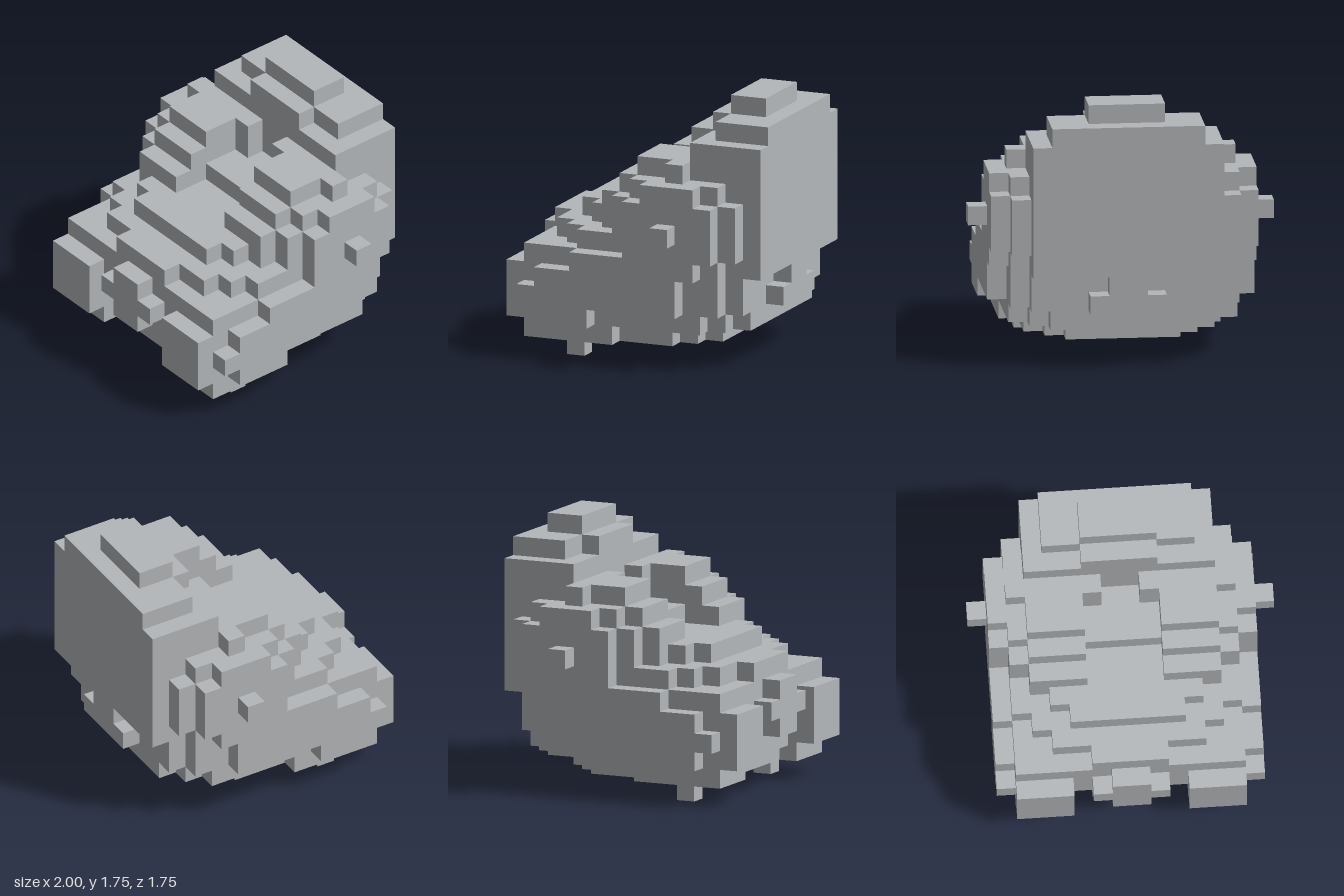
import * as THREE from 'three';
import { mergeGeometries } from 'three/addons/utils/BufferGeometryUtils.js';

const U = 0.125; // block size

// Box spanning block coordinates
function block(x0, x1, y0, y1, z0, z1) {
  const g = new THREE.BoxGeometry((x1 - x0) * U, (y1 - y0) * U, (z1 - z0) * U);
  return g.translate((x0 + x1) * U / 2, (y0 + y1) * U / 2, (z0 + z1) * U / 2);
}
// Box centred on x = 0
const slab = ([half, ...yz]) => [block(-half, half, ...yz)];
// Box and its mirror image
const pair = ([x0, x1, ...yz]) => [block(x0, x1, ...yz), block(-x1, -x0, ...yz)];

export function createModel() {
  const group = new THREE.Group();
  const grey = new THREE.MeshStandardMaterial({ color: 0xb4b7ba });
  grey.name = 'stone grey';

  function part(name, make, rows) {
    const mesh = new THREE.Mesh(mergeGeometries(rows.flatMap(make)), grey);
    mesh.name = name;
    group.add(mesh);
  }

  // Rows: half width, y0, y1, z0, z1
  part('base', slab, [
    [3, 1, 2, -4, 5], [4, 1, 2, -3, 5], [5, 1, 2, -2, 5], [6, 1, 2, 1, 5],
    [4, 2, 3, -6, 5], [5, 2, 3, -5, 5], [6, 2, 3, -4, 5], [2, 2, 3, 5, 6],
  ]);
  part('body', slab, [
    [5, 3, 5, -6, 6], [6, 3, 5, -5, 6],
    [5, 5, 6, -7, 6], [6, 5, 6, -5, 6],
    [7, 2, 3, 2, 5], [7, 3, 4, -3, 6], [7, 4, 5, -3, 5], [7, 5, 6, -4, 3],
    [2, 6, 7, -6, 6], [4, 6, 7, -6, 5], [5, 6, 7, -7, 4], [6, 6, 7, -6, 3],
    [7, 6, 8, -5, 0],
  ]);
  part('upperLip', slab, [
    [3, 7, 8, -6, 4], [4, 7, 8, -6, 3], [5, 7, 8, -7, 2], [6, 7, 8, -6, 1],
  ]);
  part('brow', slab, [[1, 8, 9, -6, -1], [2, 8, 9, -6, 0]]);
  part('back', slab, [
    [5, 8, 12, -7, -3],
    [4, 12, 13, -7, -4], [2, 12, 13, -7, -3], [2, 13, 14, -6, -4],
  ]);

  // Rows: x0, x1, y0, y1, z0, z1
  part('eyeMounds', pair, [
    [2, 5, 8, 9, -3, 2], [2, 5, 9, 10, -3, 1], [2, 5, 10, 11, -3, 0],
    [1, 6, 9, 11, -3, -2],
  ]);
  part('cheeks', pair, [
    [5, 6, 8, 9, -6, 1], [5, 6, 9, 10, -5, 0],
    [6, 7, 8, 9, -5, 0], [6, 7, 9, 10, -4, -1],
  ]);
  part('frontPaws', pair, [[3, 6, 2, 5, 5, 7], [3, 6, 1, 2, 5, 6]]);
  part('feet', pair, [[4, 5, 0, 1, 3, 4]]);
  part('sideKnobs', pair, [[7, 8, 7, 8, -3, -2]]);

  // Cross-shaped nose and small tail
  part('nose', slab, [[1, 3, 6, 6, 7], [2, 4, 5, 6, 7]]);
  part('tail', slab, [[1, 4, 5, -7, -6], [2, 3, 4, -7, -6]]);

  return group;
}
